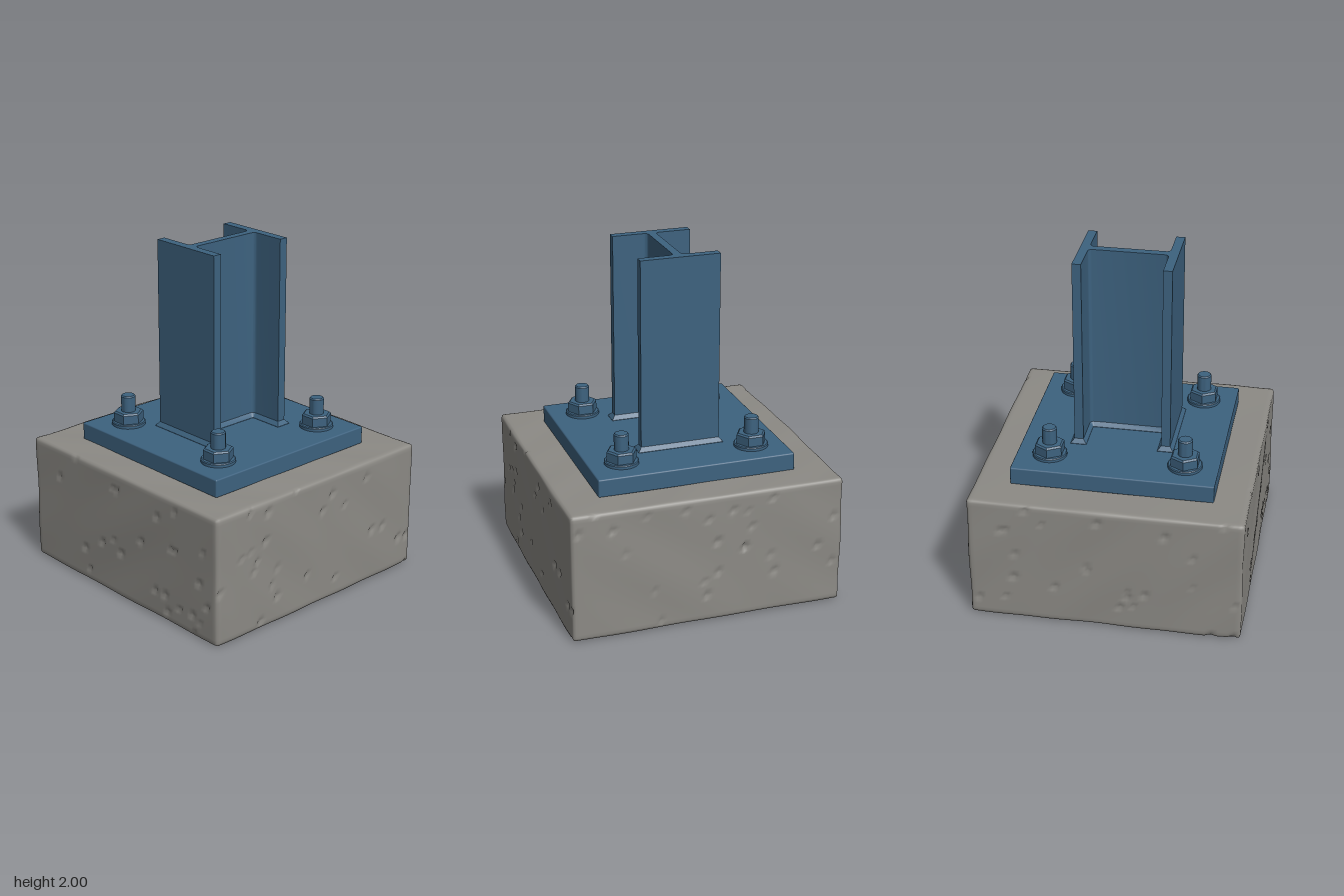
import * as THREE from 'three';
import { mergeVertices, toCreasedNormals } from 'three/addons/utils/BufferGeometryUtils.js';
import { RoundedBoxGeometry } from 'three/addons/geometries/RoundedBoxGeometry.js';

// Small seeded generator
function seeded(seed) {
  return () => {
    seed = (seed * 1664525 + 1013904223) % 4294967296;
    return seed / 4294967296;
  };
}

// Cast block: softened edges, faint waviness and small air pockets
function concreteGeometry() {
  const half = new THREE.Vector3(0.785, 0.38, 0.8), r = 0.016;
  let g = new THREE.BoxGeometry(half.x * 2, half.y * 2, half.z * 2, 84, 40, 84);
  g.deleteAttribute('uv');
  g.deleteAttribute('normal');
  g = mergeVertices(g, 1e-4);

  const rnd = seeded(7), pits = [];
  for (let i = 0; i < 96; i++) {
    const p = new THREE.Vector3(rnd() * 2 - 1, rnd() * 2 - 1, rnd() * 2 - 1).multiply(half);
    const axis = i % 2 ? 'x' : 'z';
    p[axis] = (i % 4 < 2 ? 1 : -1) * half[axis];
    pits.push({ p, size: 0.014 + rnd() * 0.012 });
  }

  const inner = half.clone().subScalar(r), low = inner.clone().negate();
  const pos = g.attributes.position, v = new THREE.Vector3(), n = new THREE.Vector3(), c = new THREE.Vector3();
  for (let i = 0; i < pos.count; i++) {
    v.fromBufferAttribute(pos, i);
    c.copy(v).clamp(low, inner);
    n.copy(v).sub(c).normalize();
    let d = 0.003 * Math.sin(v.x * 6 + v.y * 5) * Math.cos(v.z * 5 - v.y * 7 + 1);
    d += 0.0015 * Math.sin(v.x * 15 - v.z * 11 + v.y * 13);
    for (const { p, size } of pits) {
      const t = p.distanceTo(v) / size;
      if (t < 1) d -= 0.014 * (1 - t * t);
    }
    v.copy(c).addScaledVector(n, r + d);
    v.z += Math.sign(v.z) * 0.006 * (1 - (v.x / half.x) ** 2);
    pos.setXYZ(i, v.x, v.y, v.z);
  }
  g.computeVertexNormals();
  return g;
}

// H section with filleted roots, drawn in x and z
function columnShape() {
  const xo = 0.28, xi = 0.228, z = 0.235, w = 0.024, f = 0.028;
  const s = new THREE.Shape();
  s.moveTo(-xo, -z);
  s.lineTo(-xi, -z);
  s.lineTo(-xi, -w - f);
  s.quadraticCurveTo(-xi, -w, -xi + f, -w);
  s.lineTo(xi - f, -w);
  s.quadraticCurveTo(xi, -w, xi, -w - f);
  s.lineTo(xi, -z);
  s.lineTo(xo, -z);
  s.lineTo(xo, z);
  s.lineTo(xi, z);
  s.lineTo(xi, w + f);
  s.quadraticCurveTo(xi, w, xi - f, w);
  s.lineTo(-xi + f, w);
  s.quadraticCurveTo(-xi, w, -xi, w + f);
  s.lineTo(-xi, z);
  s.lineTo(-xo, z);
  s.closePath();
  return s;
}

export function createModel() {
  const model = new THREE.Group();
  model.name = 'columnBase';
  const concrete = new THREE.MeshStandardMaterial({ color: 0x8c8a85 });
  concrete.name = 'concrete grey';
  const steel = new THREE.MeshStandardMaterial({ color: 0x3d627f });
  steel.name = 'steel blue';

  const add = (parent, name, geometry, material, x, y, z) => {
    const m = new THREE.Mesh(geometry, material);
    m.name = name;
    m.position.set(x, y, z);
    parent.add(m);
    return m;
  };

  add(model, 'concreteBlock', concreteGeometry(), concrete, 0, 0.387, 0);
  add(model, 'basePlate', new RoundedBoxGeometry(1.166, 0.106, 1.166, 2, 0.008), steel, -0.003, 0.817, -0.003);

  // Column shaft
  const shaft = new THREE.ExtrudeGeometry(columnShape(), { depth: 1.14, bevelEnabled: false, curveSegments: 6 });
  shaft.rotateX(-Math.PI / 2);
  add(model, 'column', toCreasedNormals(shaft, 0.6), steel, -0.004, 0.86, -0.002);

  // Fillet weld around the foot; its lower half sits inside the plate
  const weld = new THREE.ExtrudeGeometry(columnShape(), {
    depth: 0.004, bevelThickness: 0.024, bevelSize: 0.02, bevelSegments: 1, curveSegments: 6,
  });
  weld.rotateX(-Math.PI / 2);
  add(model, 'footWeld', toCreasedNormals(weld, 0.6), steel, -0.004, 0.868, -0.002);

  // Profiles shared by the four anchors
  const lathe = (pts, sides) => toCreasedNormals(
    new THREE.LatheGeometry(pts.map(([x, y]) => new THREE.Vector2(x, y)), sides), 0.6);
  const washer = lathe([[0, 0], [0.099, 0], [0.099, 0.016], [0.094, 0.021], [0, 0.021]], 40);
  const nut = lathe([[0, 0], [0.088, 0], [0.088, 0.054], [0.078, 0.063], [0, 0.063]], 6);
  const stud = lathe([[0, 0], [0.042, 0], [0.042, 0.173], [0.036, 0.18], [0, 0.18]], 28);
  for (const x of [-0.394, 0.388]) {
    for (const z of [-0.393, 0.387]) {
      const anchor = new THREE.Group();
      anchor.name = 'anchorBolt';
      anchor.position.set(x, 0.87, z);
      model.add(anchor);
      add(anchor, 'washer', washer, steel, 0, 0, 0);
      add(anchor, 'nut', nut, steel, 0, 0.02, 0);
      add(anchor, 'threadedStud', stud, steel, 0, 0, 0);
    }
  }
  return model;
}
